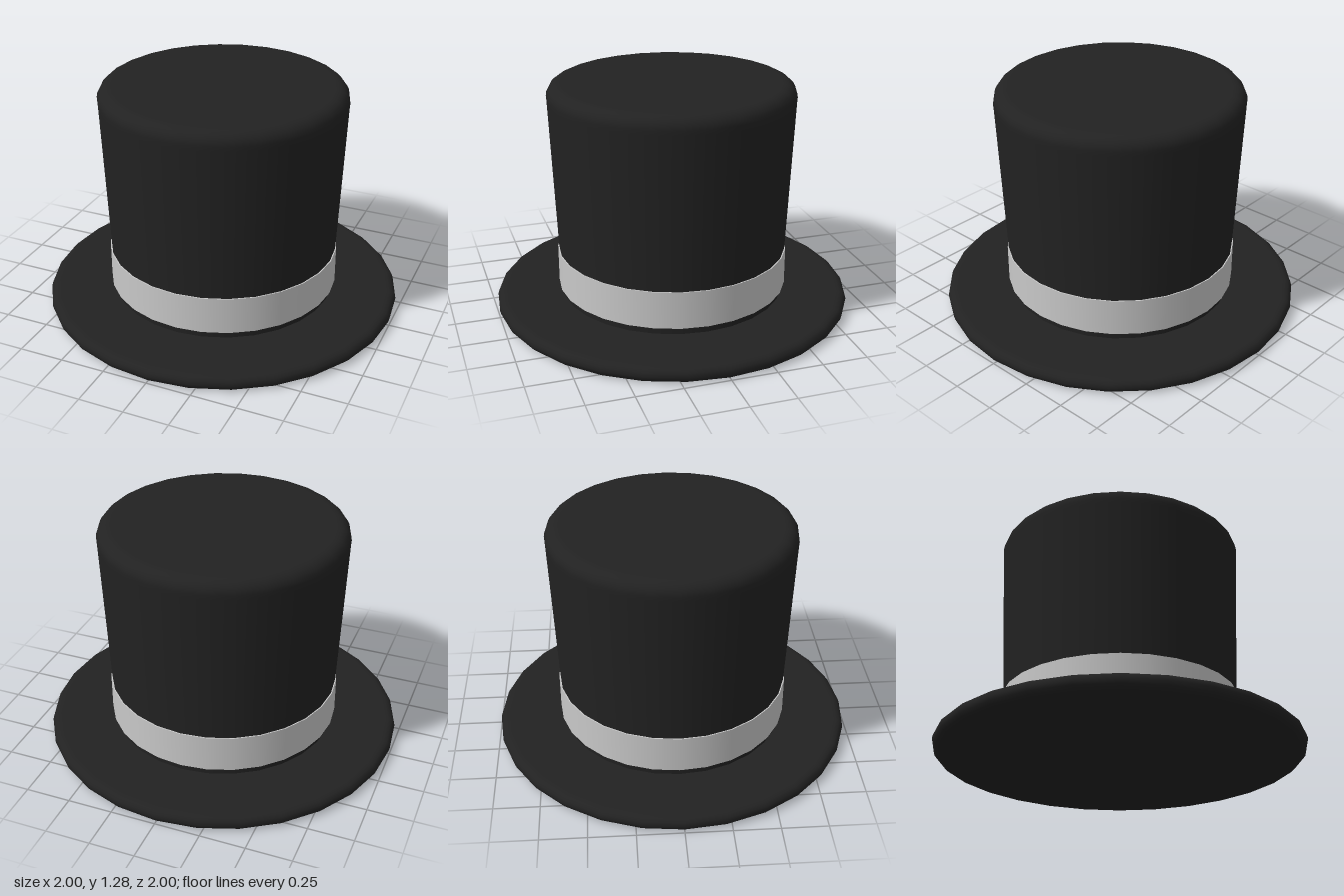
import * as THREE from 'three';

const SIDES = 28;

// Points of a quarter-round edge, from angle a0 to a1 (degrees)
function arc(cx, cy, r, a0, a1, steps) {
  const pts = [];
  for (let i = 0; i <= steps; i++) {
    const a = THREE.MathUtils.degToRad(a0 + ((a1 - a0) * i) / steps);
    pts.push([cx + r * Math.cos(a), cy + r * Math.sin(a)]);
  }
  return pts;
}

function lathe(name, profile, material) {
  const points = profile.map(([x, y]) => new THREE.Vector2(x, y));
  const mesh = new THREE.Mesh(new THREE.LatheGeometry(points, SIDES), material);
  mesh.name = name;
  return mesh;
}

export function createModel() {
  const felt = new THREE.MeshStandardMaterial({ color: 0x222222 });
  felt.name = 'black felt';
  const ribbon = new THREE.MeshStandardMaterial({ color: 0xc8c8c8 });
  ribbon.name = 'light grey ribbon';

  const hat = new THREE.Group();
  hat.name = 'topHat';

  // Flat disc brim with a rounded rim
  hat.add(lathe('brim', [
    [0, 0], [0.94, 0],
    ...arc(0.96, 0.04, 0.04, -90, 90, 6),
    [0.94, 0.08], [0, 0.08],
  ], felt));

  // Crown flares slightly upwards and ends in a rounded top edge
  hat.add(lathe('crown', [
    [0.63, 0.07], [0.632, 0.12], [0.677, 1.19],
    ...arc(0.609, 1.215, 0.07, 0, 90, 5),
    [0.59, 1.285], [0, 1.285],
  ], felt));

  // Straight ribbon band, closed by thin rings above and below
  const band = new THREE.Group();
  band.name = 'band';
  band.add(lathe('bandSide', [[0.647, 0.12], [0.647, 0.33]], ribbon));
  band.add(lathe('bandTopEdge', [[0.647, 0.33], [0.63, 0.33]], ribbon));
  band.add(lathe('bandBottomEdge', [[0.625, 0.12], [0.647, 0.12]], ribbon));
  hat.add(band);

  return hat;
}
